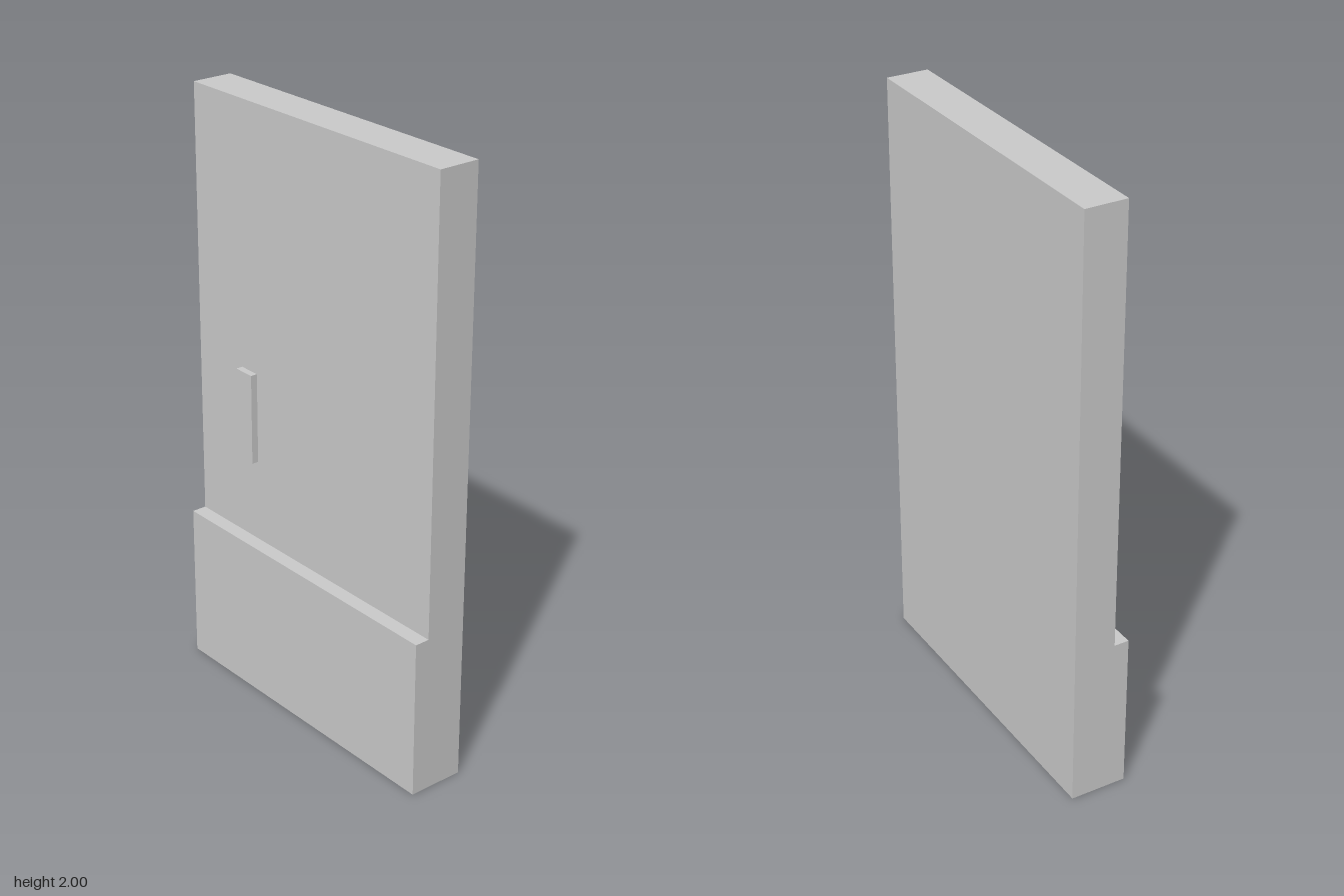
import * as THREE from 'three';

const WIDTH = 1.12;
const BACK = -0.095, FACE = 0.045, KICK = 0.095;
const HEIGHT = 2, KICK_TOP = 0.535;

export function createModel() {
  const model = new THREE.Group();
  model.name = 'door';
  const material = new THREE.MeshStandardMaterial({ color: 0xcccccc, flatShading: true });

  // Slab with a thicker lower section: stepped side profile (z, y) swept across the width
  const profile = new THREE.Shape([
    [BACK, 0], [KICK, 0], [KICK, KICK_TOP], [FACE, KICK_TOP], [FACE, HEIGHT], [BACK, HEIGHT],
  ].map(([z, y]) => new THREE.Vector2(z, y)));
  const slabGeometry = new THREE.ExtrudeGeometry(profile, { depth: WIDTH, bevelEnabled: false });
  slabGeometry.translate(0, 0, -WIDTH / 2).rotateY(-Math.PI / 2);
  const slab = new THREE.Mesh(slabGeometry, material);
  slab.name = 'doorSlab';
  model.add(slab);

  // Flat handle plate standing on the upper face
  const handleDepth = 0.023;
  const handle = new THREE.Mesh(new THREE.BoxGeometry(0.076, 0.307, handleDepth), material);
  handle.name = 'handle';
  handle.position.set(-0.302, 0.968, FACE + handleDepth / 2);
  model.add(handle);

  return model;
}
